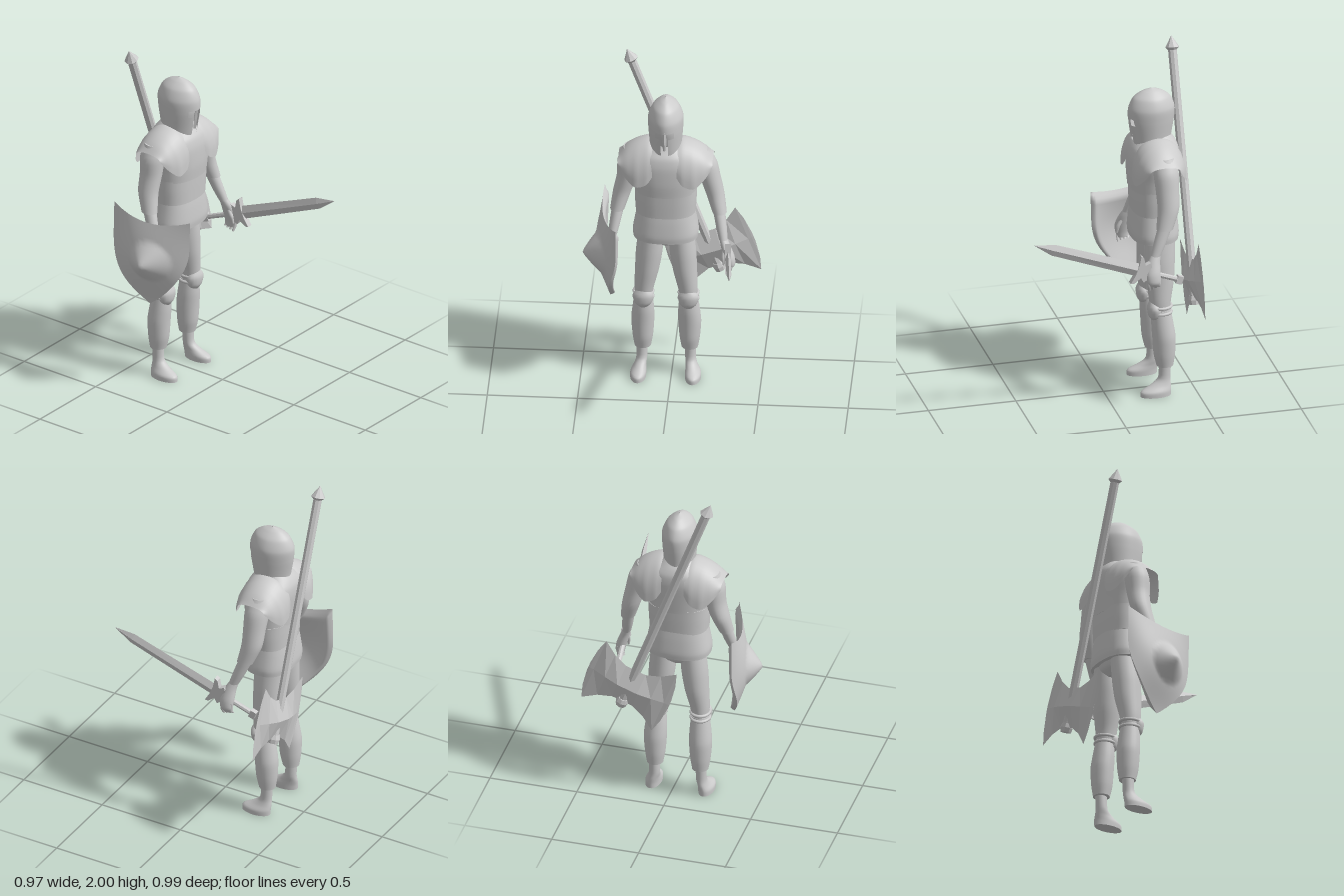
import * as THREE from 'three';

const CX = -0.03; // body centre line
const smooth = new THREE.MeshStandardMaterial({ color: 0xcccccc });
const thin = new THREE.MeshStandardMaterial({ color: 0xcccccc, side: THREE.DoubleSide });
const flat = new THREE.MeshStandardMaterial({ color: 0xcccccc, flatShading: true });

const mirror = rings => rings.map(([x, ...rest]) => [2 * CX - x, ...rest]);

function mesh(parent, name, geometry, material = smooth) {
  const m = new THREE.Mesh(geometry, material);
  m.name = name;
  parent.add(m);
  return m;
}

// Skin over horizontal super-ellipse rings [x, y, z, radiusX, radiusZ]
function loft(rings, { n = 24, sub = 4, p = 2, cap = true, skip = null } = {}) {
  if (rings[0][1] > rings[rings.length - 1][1]) rings = [...rings].reverse();
  const curve = f => new THREE.CatmullRomCurve3(rings.map(f), false, 'catmullrom', 0.4);
  const centre = curve(r => new THREE.Vector3(r[0], r[1], r[2]));
  const radius = curve(r => new THREE.Vector3(r[3], r[4], 0));
  const rows = (rings.length - 1) * sub, pos = [], idx = [];
  const pw = v => Math.sign(v) * Math.abs(v) ** (2 / p);
  const ring = i => {
    const c = centre.getPoint(i / rows), r = radius.getPoint(i / rows);
    for (let j = 0; j < n; j++) {
      const a = j / n * Math.PI * 2;
      pos.push(c.x + r.x * pw(Math.sin(a)), c.y, c.z + r.y * pw(Math.cos(a)));
    }
    return c;
  };
  for (let i = 0; i <= rows; i++) ring(i);
  for (let i = 0; i < rows; i++) for (let j = 0; j < n; j++) {
    const a = i * n + j, b = i * n + (j + 1) % n, c = b + n, d = a + n;
    const mid = k => (pos[a * 3 + k] + pos[c * 3 + k]) / 2;
    if (skip && skip(mid(0), mid(1), mid(2))) continue;
    idx.push(a, b, c, a, c, d);
  }
  if (cap) for (const end of [0, rows]) {
    const s = pos.length / 3, c = ring(end);
    pos.push(c.x, c.y, c.z);
    for (let j = 0; j < n; j++) {
      const k = s + (j + 1) % n;
      end ? idx.push(s + j, k, s + n) : idx.push(k, s + j, s + n);
    }
  }
  return build(pos, idx);
}

// Open sheet from a rule f(u, v) -> [x, y, z]
function sheet(f, nu, nv) {
  const pos = [], idx = [];
  for (let i = 0; i <= nv; i++) for (let j = 0; j <= nu; j++) pos.push(...f(j / nu, i / nv));
  for (let i = 0; i < nv; i++) for (let j = 0; j < nu; j++) {
    const a = i * (nu + 1) + j, d = a + nu + 1;
    idx.push(a, a + 1, d + 1, a, d + 1, d);
  }
  return build(pos, idx);
}

function build(pos, idx) {
  const g = new THREE.BufferGeometry();
  g.setAttribute('position', new THREE.Float32BufferAttribute(pos, 3));
  g.setIndex(idx);
  g.computeVertexNormals();
  return g;
}

function addTorso(root) {
  mesh(root, 'tunicSkirt', loft([[CX, .92, -.29, .18, .132], [CX, .96, -.29, .182, .135], [CX, 1.04, -.29, .168, .128], [CX, 1.1, -.29, .158, .12]], { p: 2.5, n: 32 }));
  mesh(root, 'belt', loft([[CX, 1.08, -.288, .166, .123], [CX, 1.16, -.288, .171, .126], [CX, 1.235, -.288, .173, .128]], { p: 2.5, n: 32 }));
  mesh(root, 'chest', loft([[CX, 1.22, -.285, .172, .132], [CX, 1.3, -.285, .182, .138], [CX, 1.4, -.29, .2, .14], [CX, 1.46, -.295, .165, .13],
    [CX, 1.5, -.3, .11, .105], [CX, 1.54, -.295, .07, .075]], { p: 2.3, n: 32 }));
  mesh(root, 'pelvis', loft([[CX, .94, -.305, .14, .1], [CX, .89, -.305, .12, .085], [CX, .855, -.305, .04, .05]]));
}

// Shoulder guard: arches over the shoulder [distance out, top, bottom, half depth]
function addShoulder(root, side) {
  const arcs = [[.065, 1.525, 1.36, .14], [.1, 1.53, 1.31, .15], [.16, 1.51, 1.29, .148], [.215, 1.475, 1.33, .122], [.262, 1.425, 1.395, .085]];
  const a = new THREE.CatmullRomCurve3(arcs.map(r => new THREE.Vector3(r[0], r[1], r[2])));
  const guard = sheet((u, v) => {
    const c = a.getPoint(v), k = v * (arcs.length - 1), i = Math.min(Math.floor(k), arcs.length - 2);
    const depth = THREE.MathUtils.lerp(arcs[i][3], arcs[i + 1][3], k - i);
    const t = (u * 2 - 1) * Math.PI / 2;
    const y = c.z + (c.y - c.z) * Math.abs(Math.cos(t)) ** .8;
    return [CX + side * c.x, y, -.295 + depth * Math.sin(t)];
  }, 24, 16);
  mesh(root, 'shoulderGuard', guard, thin);
}

function addArm(root, side) {
  // the shield arm hangs slightly closer to the body
  const tuck = side < 0 ? .03 : 0;
  const fix = rings => {
    const r = rings.map(([x, ...rest]) => [x - tuck * Math.min(1, (1.45 - rest[0]) * 6), ...rest]);
    return side < 0 ? mirror(r) : r;
  };
  mesh(root, 'sleeve', loft(fix([[.16, 1.46, -.31, .045, .055], [.185, 1.38, -.31, .066, .07], [.215, 1.28, -.31, .058, .065],
    [.242, 1.18, -.308, .051, .06], [.268, 1.075, -.28, .04, .047]])));
  mesh(root, 'forearm', loft(fix([[.262, 1.1, -.287, .034, .04], [.28, 1, -.25, .03, .035], [.293, .93, -.222, .024, .028]])));
  mesh(root, 'hand', loft(fix([[.29, .945, -.228, .02, .026], [.305, .9, -.21, .026, .034], [.325, .84, -.2, .03, .042],
    [.335, .79, -.2, .026, .038], [.328, .76, -.205, .014, .028]])));
  for (let i = 0; i < 4; i++) {
    const f = -.173 - i * .019;
    mesh(root, 'finger', loft(fix([[.336, .82, f, .011, .011], [.335, .77, f, .011, .01], [.322, .738 + i * .006, f - .004, .007, .007]]), { n: 10 }));
  }
  mesh(root, 'thumb', loft(fix([[.3, .885, -.195, .012, .013], [.297, .84, -.17, .011, .012], [.3, .8, -.162, .006, .007]]), { n: 10 }));
}

function addLeg(root, side) {
  const fix = r => side < 0 ? mirror(r) : r;
  mesh(root, 'thigh', loft(fix([[.052, .93, -.31, .07, .085], [.063, .8, -.307, .074, .083], [.075, .68, -.305, .067, .077],
    [.09, .57, -.3, .055, .062], [.095, .49, -.3, .046, .053]])));
  mesh(root, 'calf', loft(fix([[.095, .51, -.305, .05, .053], [.097, .42, -.312, .06, .062], [.1, .34, -.32, .064, .065],
    [.1, .24, -.322, .057, .06], [.1, .17, -.325, .046, .047]])));
  mesh(root, 'foot', loft(fix([[.105, .2, -.325, .031, .035], [.105, .1, -.32, .03, .034], [.113, .06, -.298, .034, .058],
    [.121, .03, -.27, .044, .085], [.122, 0, -.267, .044, .086]])));
  mesh(root, 'kneeGuard', loft(fix([[.095, .45, -.275, .026, .025], [.095, .48, -.27, .05, .038], [.095, .53, -.268, .056, .04],
    [.092, .585, -.262, .006, .012]]), { n: 16 }));
  for (const y of [.495, .53]) {
    const strap = mesh(root, 'kneeStrap', new THREE.TorusGeometry(.052, .009, 8, 24).rotateX(Math.PI / 2));
    strap.position.set(side < 0 ? 2 * CX - .095 : .095, y, -.303);
    strap.scale.z = 1.12;
  }
}

function addHead(root) {
  mesh(root, 'head', loft([[CX, 1.46, -.3, .06, .065], [CX, 1.53, -.285, .068, .08], [CX, 1.62, -.28, .08, .1], [CX, 1.7, -.28, .07, .09], [CX, 1.76, -.28, .02, .03]]));
  // T-shaped face opening
  const opening = (x, y, z) => z > -.28 && ((Math.abs(x - CX) < .055 && y > 1.595 && y < 1.64) || (Math.abs(x - CX) < .021 && y < 1.6));
  mesh(root, 'helmet', loft([[CX, 1.485, -.282, .088, .108], [CX, 1.53, -.28, .09, .115], [CX, 1.62, -.28, .097, .13], [CX, 1.69, -.282, .097, .131],
    [CX, 1.75, -.282, .072, .104], [CX, 1.785, -.283, .034, .058], [CX, 1.803, -.283, .002, .004]], { n: 72, sub: 8, p: 1.85, cap: false, skip: opening }), thin);
  mesh(root, 'noseGuard', loft([[CX, 1.52, -.172, .008, .008], [CX, 1.58, -.165, .012, .01], [CX, 1.65, -.157, .009, .01]], { n: 4, sub: 1 }), flat);
}

function addSword(root) {
  const sword = new THREE.Group();
  sword.name = 'sword';
  root.add(sword);
  sword.position.set(.305, .77, -.37);
  sword.lookAt(.375, 1.11, .49);
  const q = Math.PI / 2;
  mesh(sword, 'blade', loft([[0, .27, 0, .016, .038], [0, .81, 0, .013, .033], [0, .928, 0, .001, .001]], { n: 4, sub: 1 }).rotateX(q), flat);
  mesh(sword, 'grip', new THREE.CylinderGeometry(.015, .015, .25, 8).rotateX(q).translate(0, 0, .14), flat);
  mesh(sword, 'pommel', new THREE.BoxGeometry(.03, .046, .035).translate(0, 0, .018), flat);
  const half = [[-.04, .04], [-.025, .06], [0, .038], [.025, .078], [.045, .085], [.035, .03]];
  const outline = [...half, ...half.map(([a, b]) => [a, -b]).reverse()].map(p => new THREE.Vector2(...p));
  mesh(sword, 'crossGuard', new THREE.ExtrudeGeometry(new THREE.Shape(outline), { depth: .034, bevelEnabled: false })
    .translate(0, 0, -.017).rotateY(-q).translate(0, 0, .25), flat);
}

function addAxe(root) {
  const axe = new THREE.Group();
  axe.name = 'axe';
  root.add(axe);
  axe.position.set(.213, .724, -.455);
  axe.rotation.z = .353;
  mesh(axe, 'handle', new THREE.CylinderGeometry(.025, .025, 1.43, 8).translate(0, .585, 0), flat);
  const turned = pts => new THREE.LatheGeometry(pts.map(p => new THREE.Vector2(...p)), 8);
  mesh(axe, 'topCap', turned([[.02, 1.275], [.04, 1.295], [0, 1.36]]), flat);
  mesh(axe, 'endCap', turned([[0, -.14], [.03, -.14], [.036, -.115], [.03, -.09], [.02, -.09]]), flat);
  // double blade, thick at the handle and thin at both edges
  const wing = [[.06, .115, .04], [.14, .15, .024], [.215, .21, .005], [.237, .13, .003], [.248, .03, .001]];
  const rings = [...wing.map(([s, h, t]) => [0, -s, 0, h, t]).reverse(), ...wing.map(([s, h, t]) => [0, s, 0, h, t])];
  mesh(axe, 'doubleBlade', loft(rings, { n: 4, sub: 1 }).rotateZ(-Math.PI / 2), flat);
}

function addShield(root) {
  // curved heater plate with a pointed boss
  const plate = inner => (a, v) => {
    const u = a * 2 - 1;
    const w = 1 - Math.max(0, (v - .3) / .7) ** 2.2, k = u * w;
    const y = 1.1 - .57 * v - (1 - v) * (.05 * (1 - u * u) + .015 * u);
    const z = -.232 + .23 * k - .015 * v;
    let x = -.335 + .045 * k - .085 * (1 - k * k) * w * (.45 + .55 * Math.sin(Math.PI * v));
    if (inner) x += .032 * Math.min(1, 12 * v, 12 * (1 - v), 12 * (1 - Math.abs(u)));
    else x -= .08 * Math.max(0, 1 - Math.hypot(y - .825, z + .205) / .12);
    return [x, y, z];
  };
  mesh(root, 'shieldFront', sheet(plate(false), 32, 32), thin);
  mesh(root, 'shieldBack', sheet(plate(true), 32, 32), thin);
}

export function createModel() {
  const root = new THREE.Group();
  root.name = 'warrior';
  addTorso(root);
  addHead(root);
  for (const side of [1, -1]) {
    addShoulder(root, side);
    addArm(root, side);
    addLeg(root, side);
  }
  addSword(root);
  addAxe(root);
  addShield(root);
  return root;
}
